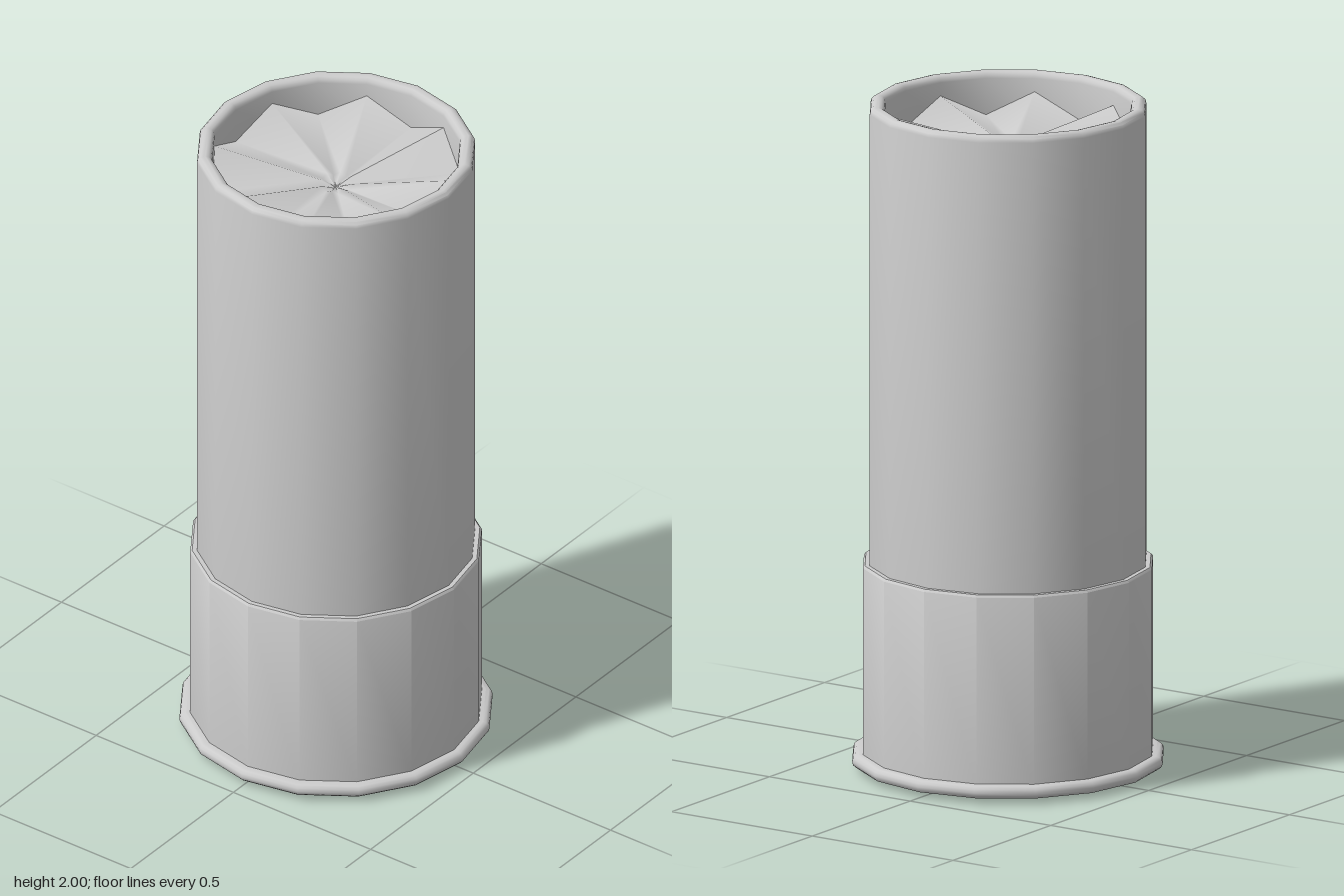
import * as THREE from 'three';
import { toCreasedNormals } from 'three/addons/utils/BufferGeometryUtils.js';

const SIDES = 16;
const SEAM = Math.PI * 3 / 8;

// Turned part from [radius, y] pairs running from the bottom outside to the top
function turned(name, profile, material) {
  const pts = profile.map(([r, y]) => new THREE.Vector2(r, y));
  const geo = new THREE.LatheGeometry(pts, SIDES, SEAM);
  const mesh = new THREE.Mesh(toCreasedNormals(geo, 0.75), material);
  mesh.name = name;
  return mesh;
}

// Quarter or half round of profile points
function arc(cx, cy, r, from, to, steps) {
  return Array.from({ length: steps + 1 }, (_, i) => {
    const a = THREE.MathUtils.degToRad(from + (to - from) * i / steps);
    return [cx + r * Math.cos(a), cy + r * Math.sin(a)];
  });
}

// Star-folded closure: spokes alternate between ridge and valley
function foldedCrimp(material) {
  const rings = [[0.365, 1.94, 1.87], [0.05, 1.875, 1.865], [0, 1.855, 1.855]];
  const geo = new THREE.LatheGeometry(
    rings.map(([r, y]) => new THREE.Vector2(r, y)), SIDES, SEAM);
  const pos = geo.attributes.position;
  for (let i = 0; i < pos.count; i++) {
    const spoke = Math.floor(i / rings.length);
    const [, ridge, valley] = rings[i % rings.length];
    pos.setY(i, spoke % 2 === 0 ? ridge : valley);
  }
  geo.computeVertexNormals();
  const mesh = new THREE.Mesh(geo, material);
  mesh.name = 'foldedCrimp';
  return mesh;
}

export function createModel() {
  const group = new THREE.Group();
  group.name = 'cartridge';
  const grey = new THREE.MeshStandardMaterial({ color: 0xcccccc });

  // Tube with a rolled mouth and an inner wall down to the crimp
  group.add(turned('hull', [
    [0.41, 0.58],
    ...arc(0.39, 1.98, 0.02, 0, 90, 3),
    ...arc(0.385, 1.98, 0.02, 90, 180, 3),
    [0.365, 1.86],
  ], grey));
  group.add(foldedCrimp(grey));

  // Metal head sleeve
  group.add(turned('headSleeve', [
    [0.43, 0.04], [0.43, 0.615], [0.424, 0.622], [0.405, 0.622],
  ], grey));

  // Base plate and rounded rim
  group.add(turned('rim', [
    [0.09, 0.014], [0.44, 0.014],
    ...arc(0.442, 0.034, 0.02, -90, 90, 6),
    [0.42, 0.054],
  ], grey));

  // Primer cup: raised ring around a shallow recess
  group.add(turned('primer', [
    [0, 0.008], [0.093, 0.008], [0.1, 0], [0.122, 0], [0.13, 0.006], [0.13, 0.016],
  ], grey));

  return group;
}
